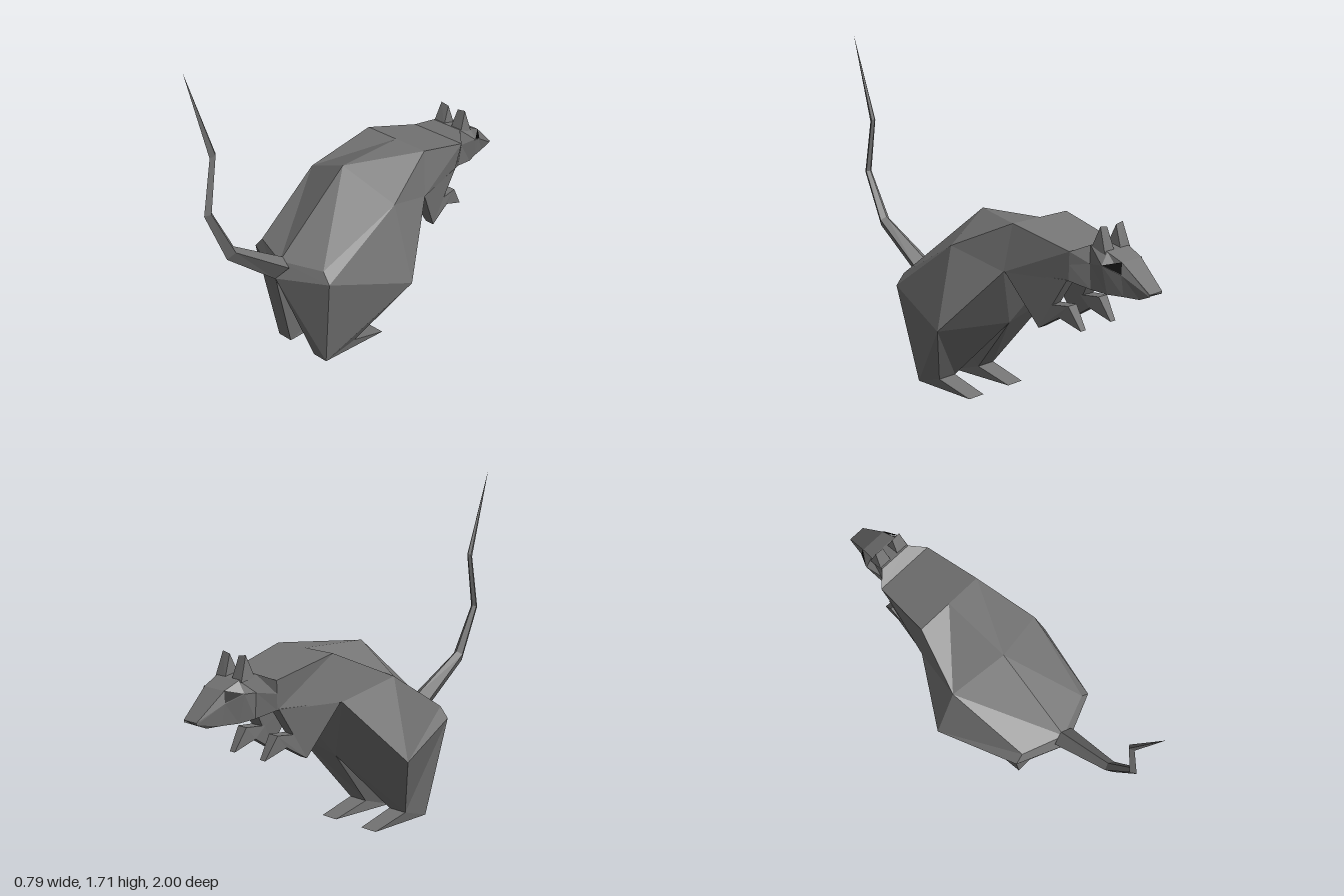
import * as THREE from 'three';
import { ConvexGeometry } from 'three/addons/geometries/ConvexGeometry.js';

const fur = new THREE.MeshStandardMaterial({ color: 0x747474, flatShading: true });
const eyeMat = new THREE.MeshStandardMaterial({ color: 0x050505, flatShading: true, side: THREE.DoubleSide });
const vec = (p, side = 1) => new THREE.Vector3(p[0] * side, p[1], p[2]);

// Mesh from polygons, each a list of corner points in counter-clockwise order
function polyMesh(name, polys, material = fur) {
  const pts = [];
  for (const p of polys)
    for (let i = 1; i < p.length - 1; i++) pts.push(vec(p[0]), vec(p[i]), vec(p[i + 1]));
  const geo = new THREE.BufferGeometry().setFromPoints(pts);
  geo.computeVertexNormals();
  const mesh = new THREE.Mesh(geo, material);
  mesh.name = name;
  return mesh;
}

// Skin a list of closed cross-sections
function loftPolys(rings) {
  const polys = [];
  for (let i = 0; i < rings.length - 1; i++) {
    const a = rings[i], b = rings[i + 1], n = a.length;
    for (let k = 0; k < n; k++) polys.push([a[k], a[(k + 1) % n], b[(k + 1) % n], b[k]]);
  }
  return polys;
}

const flip = ([x, y, z]) => [-x, y, z];

// Convex part, one on each side
function hullPair(group, name, points) {
  for (const [side, label] of [[1, 'left'], [-1, 'right']]) {
    const mesh = new THREE.Mesh(new ConvexGeometry(points.map(p => vec(p, side))), fur);
    mesh.name = label + name;
    group.add(mesh);
  }
}

// Torso, haunches and feet: one half by named landmarks, then mirrored
function buildBody() {
  const spine = [0, 0.92, 0.065], withers = [0, 0.93, -0.31], nape = [0, 0.845, -0.63];
  const rump = [0, 0.565, 0.49], seat = [0, 0.48, 0.52], belly = [0, 0.37, -0.115];
  const chest = [0, 0.7, -0.285], throat = [0, 0.7, -0.61];
  const back = [0.285, 0.79, 0], shoulder = [0.19, 0.93, -0.31], hip = [0.395, 0.39, -0.015];
  const rumpSide = [0.215, 0.565, 0.41], thigh = [0.26, 0.51, 0.415], armpit = [0.225, 0.7, -0.285];
  const neckTop = [0.16, 0.845, -0.63], neckLow = [0.14, 0.7, -0.61];
  const heelIn = [0.085, 0, 0.355], heelOut = [0.17, 0, 0.355];
  const ankleIn = [0.085, 0.055, 0.18], ankleOut = [0.195, 0.055, 0.18];
  const toeIn = [0.09, 0, -0.025], toeOut = [0.19, 0, -0.025];
  const half = [
    // back and shoulders
    [spine, rump, rumpSide, back], [spine, back, shoulder, withers], [withers, shoulder, neckTop, nape],
    // flanks
    [back, rumpSide, thigh, hip], [back, hip, armpit], [back, armpit, shoulder],
    [neckTop, shoulder, armpit, neckLow],
    // underside
    [hip, belly, armpit], [belly, chest, armpit], [armpit, chest, throat, neckLow],
    // hind leg
    [hip, thigh, heelOut, ankleOut], [hip, ankleOut, ankleIn, belly],
    [belly, ankleIn, heelIn, seat], [rump, seat, thigh, rumpSide], [seat, heelIn, heelOut, thigh],
    // foot
    [ankleIn, ankleOut, toeOut, toeIn], [heelOut, toeOut, ankleOut],
    [heelIn, ankleIn, toeIn], [heelIn, toeIn, toeOut, heelOut],
  ];
  const mirrored = half.map(p => p.map(flip).reverse());
  return polyMesh('body', [...half, ...mirrored]);
}

// Neck and head: sections given as top, cheek and jaw points
function buildHead() {
  const sections = [
    [[0.16, 0.845, -0.63], [0.15, 0.78, -0.62], [0.14, 0.7, -0.61]],
    [[0.09, 0.875, -0.695], [0.1, 0.79, -0.7], [0.085, 0.665, -0.695]],
    [[0.08, 0.855, -0.785], [0.12, 0.8, -0.785], [0.085, 0.66, -0.79]],
    [[0.07, 0.818, -0.86], [0.08, 0.762, -0.865], [0.06, 0.658, -0.865]],
    [[0.045, 0.69, -1], [0.045, 0.68, -1], [0.04, 0.655, -0.94]],
  ];
  const rings = sections.map(s => [...s, ...s.map(flip).reverse()]);
  return polyMesh('head', [...loftPolys(rings), rings[rings.length - 1]]);
}

// Tail: tapering diamond sections [upper z, y, lower z, y, half width]
function buildTail() {
  const rings = [
    [0.47, 0.58, 0.523, 0.48, 0.06],
    [0.77, 0.767, 0.812, 0.713, 0.03],
    [0.89, 0.997, 0.93, 0.987, 0.018],
    [0.848, 1.275, 0.882, 1.26, 0.013],
    [1, 1.705, 1, 1.705, 0],
  ].map(([z0, y0, z1, y1, w]) => {
    const y = y0 + (y1 - y0) * 0.3, z = z0 + (z1 - z0) * 0.3;
    return [[0, y0, z0], [-w, y, z], [0, y1, z1], [w, y, z]];
  });
  return polyMesh('tail', loftPolys(rings));
}

export function createModel() {
  const group = new THREE.Group();
  group.name = 'rodent';
  group.add(buildBody(), buildHead(), buildTail());

  // Eyes: dark triangles just proud of the cheeks
  const eye = [[0.121, 0.802, -0.787], [0.082, 0.765, -0.867], [0.072, 0.82, -0.862]];
  group.add(polyMesh('leftEye', [eye], eyeMat), polyMesh('rightEye', [eye.map(flip).reverse()], eyeMat));

  // Ears
  hullPair(group, 'Ear', [
    [0.022, 0.86, -0.7], [0.092, 0.86, -0.7], [0.022, 0.845, -0.78], [0.092, 0.845, -0.78],
    [0.032, 0.957, -0.742], [0.08, 0.965, -0.742],
  ]);

  // Front legs: upper arm, forearm and drooping paw
  hullPair(group, 'UpperArm', [
    [0.22, 0.705, -0.285], [0.06, 0.705, -0.3], [0.145, 0.705, -0.605], [0.06, 0.705, -0.59],
    [0.15, 0.445, -0.44], [0.1, 0.445, -0.44], [0.15, 0.57, -0.495], [0.08, 0.57, -0.495],
  ]);
  hullPair(group, 'Forearm', [
    [0.15, 0.445, -0.44], [0.1, 0.445, -0.44], [0.15, 0.57, -0.495], [0.08, 0.57, -0.495],
    [0.14, 0.515, -0.555], [0.08, 0.515, -0.555], [0.14, 0.58, -0.61], [0.08, 0.58, -0.61],
  ]);
  hullPair(group, 'Paw', [
    [0.14, 0.515, -0.555], [0.08, 0.515, -0.555], [0.14, 0.58, -0.61], [0.08, 0.58, -0.61],
    [0.125, 0.47, -0.675], [0.09, 0.47, -0.675],
  ]);
  return group;
}
